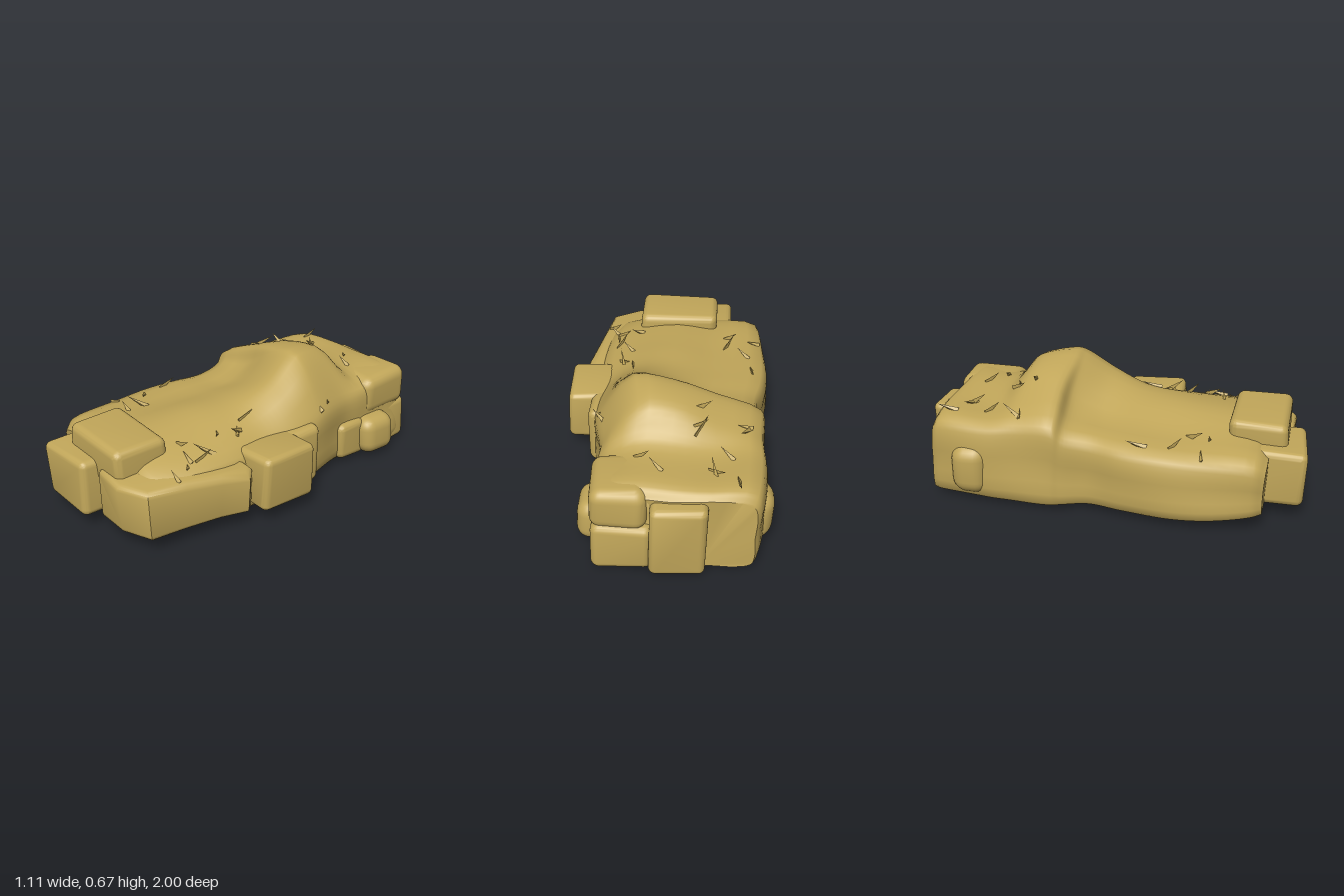
import * as THREE from 'three';
import { toCreasedNormals, mergeVertices } from 'three/addons/utils/BufferGeometryUtils.js';
import { RoundedBoxGeometry } from 'three/addons/geometries/RoundedBoxGeometry.js';

const sandstone = new THREE.MeshStandardMaterial({ color: 0xc2a75a });
sandstone.name = 'sandstone';

// Gentle position-based warp that makes straight stone look weathered
function weather(geo, amount) {
  const p = geo.attributes.position;
  for (let i = 0; i < p.count; i++) {
    const x = p.getX(i), y = p.getY(i), z = p.getZ(i);
    p.setXYZ(i,
      x + amount * Math.sin(9 * y + 7 * z + 1),
      Math.max(0, y + amount * 0.7 * Math.sin(11 * x + 8 * z)),
      z + amount * Math.sin(10 * x + 9 * y + 2));
  }
  geo.deleteAttribute('normal');
  geo.deleteAttribute('uv');
  return toCreasedNormals(mergeVertices(geo, 1e-4), 0.7);
}

// Cross-sections of the mound: z, left x, right x, then top heights at these fractions
const FRACTIONS = [0.03, 0.3, 0.55, 0.77, 0.97];
const SECTIONS = [
  [-0.92, -0.43, 0.32, 0.38, 0.42, 0.42, 0.42, 0.39],
  [-0.88, -0.45, 0.34, 0.42, 0.45, 0.46, 0.46, 0.44],
  [-0.61, -0.49, 0.34, 0.43, 0.46, 0.48, 0.48, 0.42],
  [-0.47, -0.49, 0.33, 0.45, 0.53, 0.61, 0.62, 0.42],
  [-0.27, -0.50, 0.37, 0.46, 0.56, 0.64, 0.66, 0.42],
  [-0.22, -0.49, 0.38, 0.41, 0.47, 0.6, 0.64, 0.41],
  [-0.08, -0.47, 0.40, 0.38, 0.42, 0.51, 0.54, 0.37],
  [0.10, -0.51, 0.40, 0.37, 0.41, 0.46, 0.46, 0.34],
  [0.35, -0.54, 0.40, 0.37, 0.4, 0.45, 0.43, 0.34],
  [0.74, -0.52, 0.34, 0.35, 0.38, 0.41, 0.38, 0.33],
  [0.80, -0.49, 0.30, 0.31, 0.34, 0.34, 0.34, 0.31],
];

function moundGeometry() {
  const rings = SECTIONS.map(([z, xl, xr, ...tops]) => {
    const base = 0.02 + 0.09 * Math.max(0, z - 0.25) + 0.015 * Math.min(0, z + 0.3);
    const side = (x, top) => [base + 0.03, (base + top) / 2, top - 0.07].map(y => [x, y]);
    const floor = [0.06, 0.35, 0.65, 0.94].map(f => [xl + f * (xr - xl), base]);
    return [
      floor[1], floor[0], ...side(xl, tops[0]),
      ...tops.map((y, i) => [xl + FRACTIONS[i] * (xr - xl), y]),
      ...side(xr, tops[4]).reverse(), floor[3], floor[2],
    ].map(([x, y]) => new THREE.Vector3(x, y, z));
  });
  const n = rings[0].length, steps = 60;
  // Smooth lengthwise rails, then extra points across each ring
  const rails = rings[0].map((_, i) => new THREE.CatmullRomCurve3(rings.map(r => r[i])));
  const around = n * 3, pos = [], index = [];
  for (let s = 0; s <= steps; s++) {
    const ring = new THREE.CatmullRomCurve3(rails.map(rail => rail.getPoint(s / steps)), true);
    for (let i = 0; i < around; i++) pos.push(...ring.getPoint(i / around).toArray());
  }
  for (let s = 0; s < steps; s++) {
    for (let i = 0; i < around; i++) {
      const a = s * around + i, b = s * around + (i + 1) % around;
      index.push(a, a + around, b, b, a + around, b + around);
    }
  }
  // Close the two ends
  const last = steps * around;
  for (let i = 1; i < around - 1; i++) {
    index.push(0, i, i + 1, last, last + i + 1, last + i);
  }
  const geo = new THREE.BufferGeometry();
  geo.setAttribute('position', new THREE.Float32BufferAttribute(pos, 3));
  geo.setIndex(index);
  return weather(geo, 0.007);
}

// Stone blocks by their limits: x, y and z ranges, then corner radius
const BLOCKS = {
  frontLeftBlock: [-0.35, 0, 0.075, 0.37, 0.6, 0.99, 0.035],
  frontTopBlock: [-0.26, 0.185, 0.25, 0.478, 0.6, 0.895, 0.04],
  sideBlock: [0.28, 0.55, 0.08, 0.37, -0.04, 0.285, 0.035],
  innerSideBlock: [0.2, 0.425, 0.04, 0.37, -0.2, 0.05, 0.04],
  rearUpperBlock: [0.08, 0.355, 0.24, 0.463, -0.95, -0.62, 0.06],
  rearLowerBlock: [0.12, 0.435, 0.03, 0.25, -0.8, -0.57, 0.07],
  rearInnerBlock: [0.1, 0.37, 0.03, 0.25, -0.62, -0.42, 0.04],
  rearCornerBlock: [0.05, 0.345, 0.01, 0.27, -0.96, -0.79, 0.04],
  backBlock: [-0.2, 0.07, 0.005, 0.41, -0.995, -0.8, 0.035],
  rearSideBoulder: [-0.52, -0.3, 0.04, 0.32, -0.8, -0.6, 0.08],
};

function blockGeometry([x0, x1, y0, y1, z0, z1, r]) {
  const geo = new RoundedBoxGeometry(x1 - x0, y1 - y0, z1 - z0, 4, r);
  geo.translate((x0 + x1) / 2, (y0 + y1) / 2, (z0 + z1) / 2);
  return weather(geo, 0.007);
}

// Angled ledge extruded upward from its plan outline, with its outer top sloping down
function ledgeGeometry(plan, y0, y1, bevel) {
  const shape = new THREE.Shape(plan.map(([x, z]) => new THREE.Vector2(x, -z)));
  const geo = new THREE.ExtrudeGeometry(shape, {
    depth: y1 - y0 - 2 * bevel, bevelSize: bevel, bevelThickness: bevel,
    bevelOffset: -bevel, bevelSegments: 3,
  });
  geo.rotateX(-Math.PI / 2).translate(0, y0 + bevel, 0);
  const p = geo.attributes.position;
  for (let i = 0; i < p.count; i++) {
    const rise = (p.getY(i) - y0) / (y1 - y0);
    p.setY(i, p.getY(i) - 0.5 * rise * Math.max(0, p.getX(i) - 0.38));
  }
  return weather(geo, 0.007);
}

// Patches of loose splinters: centre x, centre z, half width, half length, count
const PATCHES = [
  [-0.28, -0.62, 0.14, 0.2, 9],
  [0.05, -0.75, 0.1, 0.08, 2],
  [-0.4, 0.35, 0.1, 0.16, 5],
  [0.24, 0.36, 0.07, 0.2, 7],
  [0.33, 0.6, 0.04, 0.08, 3],
  [0.34, -0.32, 0.02, 0.06, 2],
];

export function createModel() {
  const group = new THREE.Group();
  const add = (name, geo) => {
    const mesh = new THREE.Mesh(geo, sandstone);
    mesh.name = name;
    group.add(mesh);
    return mesh;
  };

  add('rockMound', moundGeometry());
  for (const name in BLOCKS) add(name, blockGeometry(BLOCKS[name]));
  add('frontRightLedge', ledgeGeometry([
    [0.01, 0.55], [0.01, 0.89], [0.05, 0.925], [0.22, 0.925], [0.37, 0.85],
    [0.405, 0.66], [0.45, 0.48], [0.495, 0.34], [0.45, 0.29], [0.22, 0.29],
  ], 0.08, 0.345, 0.03));

  // Drop each splinter onto the rock surface, leaning in varied directions
  group.updateMatrixWorld(true);
  const rocks = [...group.children];
  const down = new THREE.Vector3(0, -1, 0);
  for (const [cx, cz, w, d, count] of PATCHES) {
    for (let i = 0; i < count; i++) {
      const start = new THREE.Vector3(cx + w * Math.sin(i * 2.4 + 1), 2, cz + d * Math.cos(i * 1.7));
      const [hit] = new THREE.Raycaster(start, down).intersectObjects(rocks);
      const length = 0.08 + 0.015 * (i % 4);
      const geo = new THREE.ConeGeometry(0.02, length, 3).toNonIndexed();
      geo.computeVertexNormals();
      geo.translate(0, length * 0.35, 0);
      const splinter = add('splinter', geo);
      splinter.position.copy(hit.point);
      splinter.scale.z = 0.5;
      splinter.rotation.set(0, i * 2.4, 1 + 0.12 * (i % 3), 'YXZ');
    }
  }
  return group;
}
